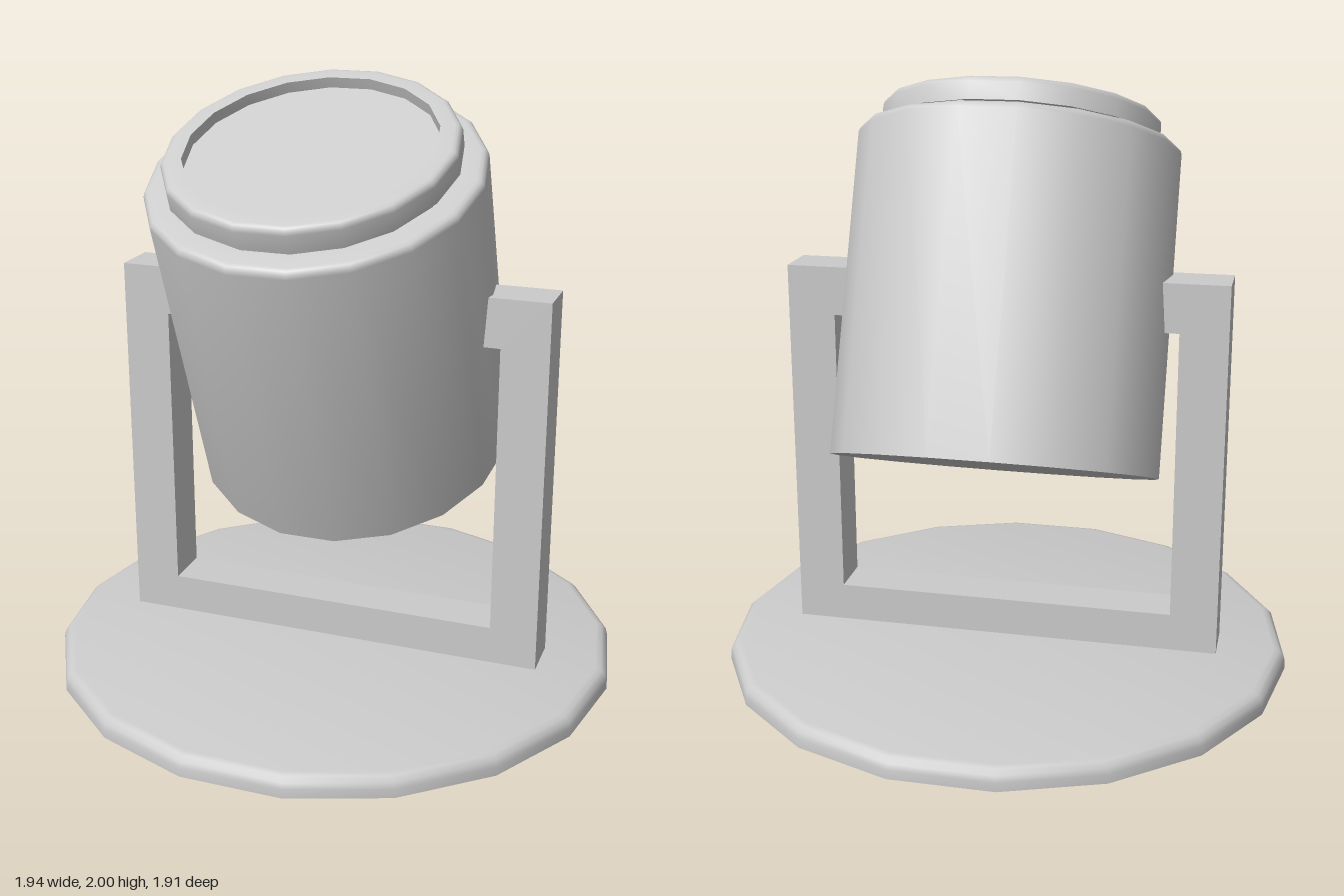
import * as THREE from 'three';
import { toCreasedNormals } from 'three/addons/utils/BufferGeometryUtils.js';

const SIDES = 18;
const material = new THREE.MeshStandardMaterial({ color: 0xcccccc });
const shellMaterial = new THREE.MeshStandardMaterial({ color: 0xcccccc, side: THREE.DoubleSide });

function addMesh(parent, name, geometry, mat = material) {
  const mesh = new THREE.Mesh(geometry, mat);
  mesh.name = name;
  parent.add(mesh);
  return mesh;
}

// Turned part with an 18-sided outline; points are [radius, height], bottom to top.
function turned(profile) {
  const points = profile.map(([r, y]) => new THREE.Vector2(r, y));
  return toCreasedNormals(new THREE.LatheGeometry(points, SIDES, Math.PI / SIDES), 0.6);
}

// Quarter-round edge from the side (radius r) up to the top (height y).
function roundedEdge(r, y, size) {
  return [0, 1, 2, 3].map((i) => {
    const a = (i / 3) * Math.PI / 2;
    return [r - size + size * Math.cos(a), y - size + size * Math.sin(a)];
  });
}

export function createModel() {
  const model = new THREE.Group();
  model.name = 'spotlight';

  // Round base: a shallow shell, open underneath, with a soft upper edge
  addMesh(model, 'basePlate', turned([[0.971, 0], ...roundedEdge(0.971, 0.07, 0.04), [0, 0.07]]), shellMaterial);

  // Thin walls of the bracket foot showing below the plate
  const foot = new THREE.Group();
  foot.name = 'bracketFoot';
  model.add(foot);
  for (const s of [-1, 1]) {
    addMesh(foot, 'footLongWall', new THREE.BoxGeometry(1.48, 0.026, 0.003)).position.set(0, 0.057, s * 0.0785);
    for (const x of [0.7385, 0.58]) {
      addMesh(foot, 'footCrossWall', new THREE.BoxGeometry(0.003, 0.026, 0.154)).position.set(s * x, 0.057, 0);
    }
  }

  // U-shaped bracket with lugs reaching into the lamp body
  const half = [[0.74, 0.071], [0.74, 1.355], [0.51, 1.355], [0.51, 1.19], [0.58, 1.19], [0.58, 0.2]];
  const outline = [...half, ...half.map(([x, y]) => [-x, y]).reverse()];
  const bracketShape = new THREE.Shape(outline.map(([x, y]) => new THREE.Vector2(x, y)));
  const bracket = new THREE.ExtrudeGeometry(bracketShape, { depth: 0.16, bevelEnabled: false });
  bracket.translate(0, 0, -0.08);
  addMesh(model, 'bracket', bracket);

  // Lamp head, tilted up and forward: body, shoulder, front ring and recessed lens in one profile
  const head = addMesh(model, 'lampHead', turned([
    [0, 0], [0.542, 0], ...roundedEdge(0.542, 1.09, 0.025),
    [0.45, 1.09], [0.45, 1.1], [0.468, 1.108], ...roundedEdge(0.468, 1.187, 0.022),
    [0.4, 1.187], [0.4, 1.15], [0, 1.15],
  ]));
  head.position.set(0, 0.737, -0.207);
  head.rotation.x = THREE.MathUtils.degToRad(22);

  return model;
}
